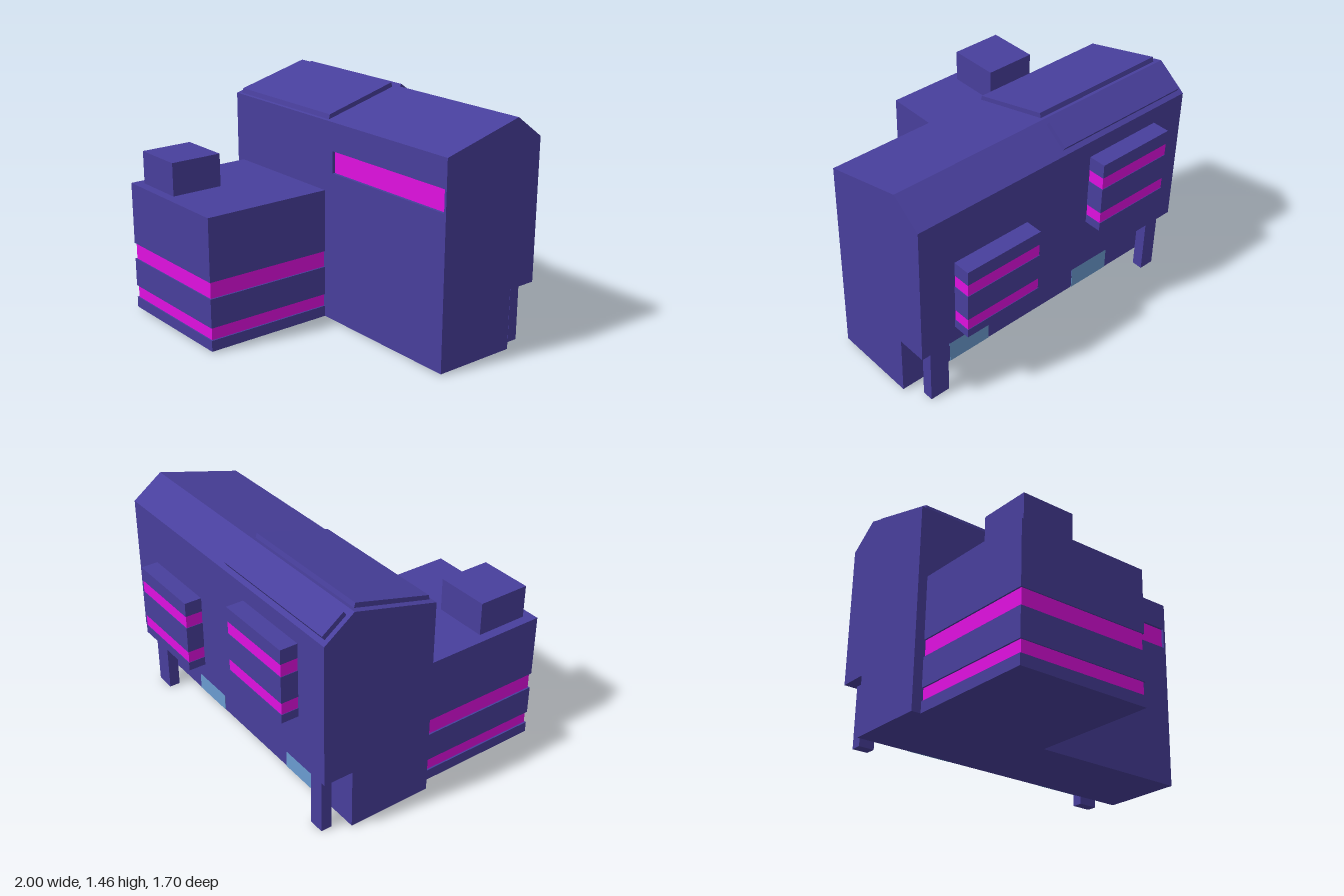
import * as THREE from 'three';

const wall = new THREE.MeshStandardMaterial({ color: 0x483f9c });
const band = new THREE.MeshStandardMaterial({ color: 0xe010e0 });
const glass = new THREE.MeshStandardMaterial({ color: 0x6a9bd0 });

// Box given by its minimum and maximum on each axis
function box(name, [x0, x1], [y0, y1], [z0, z1], material = wall) {
  const geometry = new THREE.BoxGeometry(x1 - x0, y1 - y0, z1 - z0);
  geometry.translate((x0 + x1) / 2, (y0 + y1) / 2, (z0 + z1) / 2);
  const mesh = new THREE.Mesh(geometry, material);
  mesh.name = name;
  return mesh;
}

// Side profile of [z, y] points, extruded from x0 to x1
function profile(name, points, [x0, x1]) {
  const shape = new THREE.Shape(points.map(([z, y]) => new THREE.Vector2(z, y)));
  const geometry = new THREE.ExtrudeGeometry(shape, { depth: x1 - x0, bevelEnabled: false });
  geometry.rotateY(-Math.PI / 2).translate(x1, 0, 0);
  const mesh = new THREE.Mesh(geometry, wall);
  mesh.name = name;
  return mesh;
}

// Solid storeys with slightly inset coloured window bands between them
function bandedBlock(name, [x0, x1], [y0, y1], [z0, z1], bands, inset) {
  const group = new THREE.Group();
  group.name = name;
  let y = y0;
  for (const [b0, b1] of bands) {
    group.add(box('storey', [x0, x1], [y, b0], [z0, z1]));
    const zs = inset.z.map((d, i) => (i ? z1 - d : z0 + d));
    group.add(box('windowBand', [x0 + inset.x, x1 - inset.x], [b0, b1], zs, band));
    y = b1;
  }
  group.add(box('storey', [x0, x1], [y, y1], [z0, z1]));
  return group;
}

export function createModel() {
  const model = new THREE.Group();
  model.name = 'building';

  // Main block: pitched roof, rear overhang, window groove along the front
  const win = [0.975, 1.115];
  const groove = [-0.025, -0.005];
  model.add(profile('mainBlock', [
    [-0.55, 0.01], [-0.005, 0.01], [-0.005, win[0]], [groove[0], win[0]],
    [groove[0], win[1]], [-0.005, win[1]], [-0.005, 1.295], [-0.55, 1.435],
    [-0.74, 1.295], [-0.74, 0.395], [-0.55, 0.395],
  ], [-1, 1]));
  // Close the groove beside the window
  model.add(box('frontWallFill', [-1, 0.01], win, groove));
  model.add(box('frontWallFill', [0.985, 1], win, groove));
  model.add(box('frontWindow', [0.01, 0.985], win, [groove[0] - 0.01, groove[0] + 0.002], band));

  // Roof panels lying on both slopes
  model.add(profile('frontRoofPanel',
    [[-0.525, 1.429], [-0.02, 1.299], [-0.028, 1.329], [-0.517, 1.458]], [-0.96, -0.045]));
  model.add(profile('backRoofPanel',
    [[-0.715, 1.313], [-0.58, 1.413], [-0.598, 1.438], [-0.732, 1.339]], [-0.97, -0.04]));

  // Front wing and its rooftop hut
  model.add(bandedBlock('frontWing', [-0.94, -0.065], [0.01, 0.85], [-0.005, 0.85],
    [[0.08, 0.16], [0.345, 0.45]], { x: 0.01, z: [0, 0.008] }));
  model.add(box('rooftopHut', [-0.88, -0.535], [0.85, 1.06], [0.45, 0.79]));

  // Rear bays at staggered heights, with a ground-floor door below each
  for (const [x, y] of [[0.5, 0.5], [-0.5, 0.72]]) {
    model.add(bandedBlock('rearBay', [x - 0.263, x + 0.263], [y, y + 0.47], [-0.85, -0.74],
      [[y + 0.055, y + 0.13], [y + 0.3, y + 0.38]], { x: 0.003, z: [0.003, 0] }));
    model.add(box('rearDoor', [x - 0.15, x + 0.15], [0.01, 0.21], [-0.553, -0.545], glass));
  }

  // Pillars under the overhang
  for (const span of [[-0.93, -0.83], [0.79, 0.92]]) {
    model.add(box('pillar', span, [0, 0.395], [-0.71, -0.64]));
  }
  return model;
}
